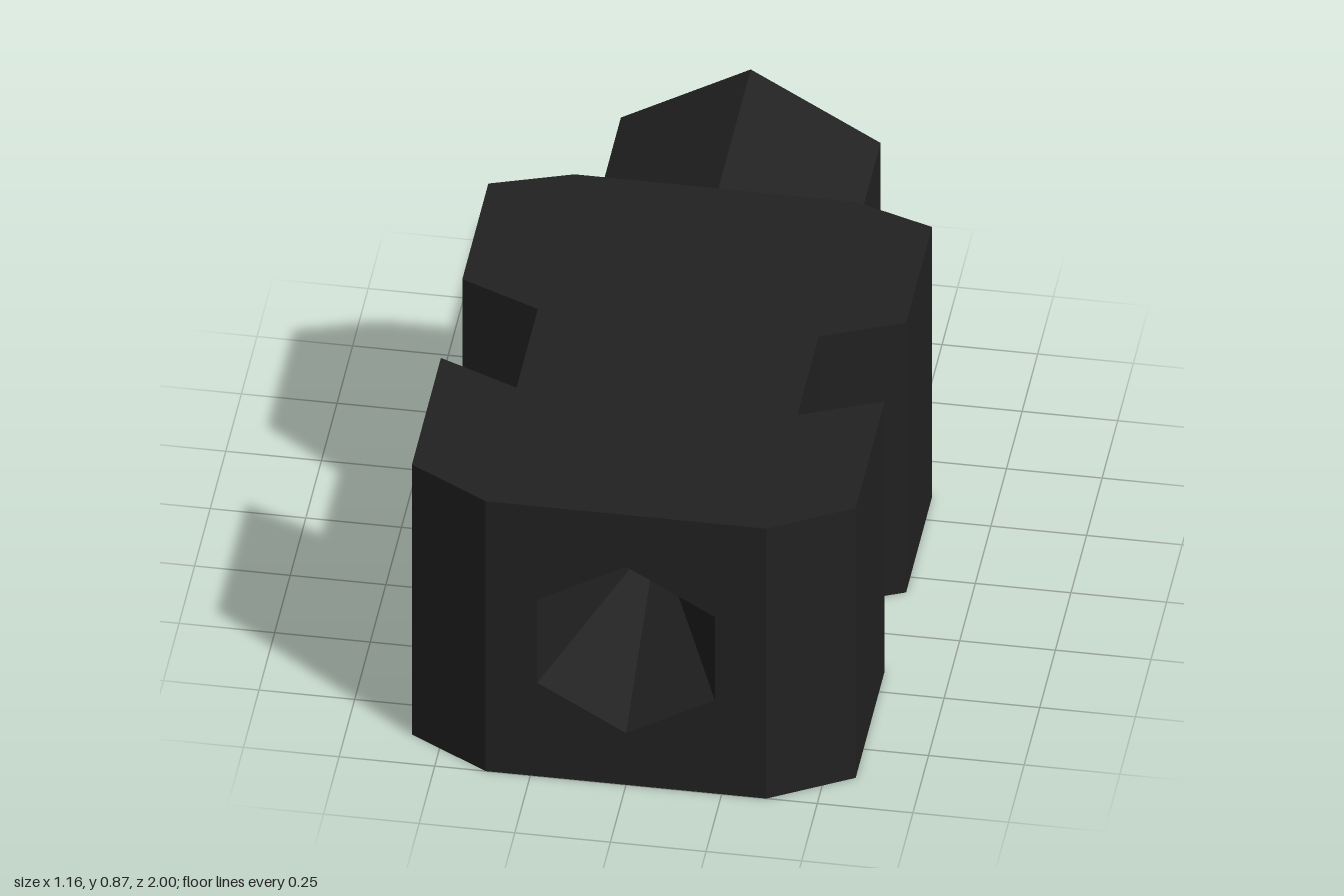
import * as THREE from 'three';

const HEIGHT = 0.87;
const MID = HEIGHT / 2;

export function createModel() {
  const group = new THREE.Group();
  const black = new THREE.MeshStandardMaterial({ color: 0x222222, flatShading: true });
  black.name = 'matte black';

  const add = (name, geometry, y = 0, z = 0) => {
    const flat = geometry.index ? geometry.toNonIndexed() : geometry;
    flat.computeVertexNormals();
    const mesh = new THREE.Mesh(flat, black);
    mesh.name = name;
    mesh.position.set(0, y, z);
    group.add(mesh);
  };

  // Pointy-top hexagon
  const hexagon = (r) => Array.from({ length: 6 }, (_, i) =>
    new THREE.Vector2(r * Math.sin(i * Math.PI / 3), r * Math.cos(i * Math.PI / 3)));

  // Six-sided tapered tube along z
  const hexTube = (rFront, rBack, length) =>
    new THREE.CylinderGeometry(rFront, rBack, length, 6, 1, true).rotateX(Math.PI / 2);

  // Body outline seen from above: right half front to back, then mirrored
  const half = [[0.367, 1], [0.58, 0.875], [0.58, 0.41], [0.367, 0.505],
    [0.367, 0.162], [0.58, 0.067], [0.58, -0.35], [0.367, -0.425]];
  const outline = [...half, ...half.map(([x, z]) => [-x, z]).reverse()];

  // Side and back walls; the front is a separate pierced face
  const walls = [];
  for (let i = 0; i < outline.length - 1; i++) {
    const [ax, az] = outline[i];
    const [bx, bz] = outline[i + 1];
    walls.push(ax, 0, az, bx, 0, bz, bx, HEIGHT, bz);
    walls.push(ax, 0, az, bx, HEIGHT, bz, ax, HEIGHT, az);
  }
  const wallGeometry = new THREE.BufferGeometry();
  wallGeometry.setAttribute('position', new THREE.Float32BufferAttribute(walls, 3));
  add('bodyWalls', wallGeometry);

  // Top and bottom lids
  const lid = (sign) => new THREE.ShapeGeometry(
    new THREE.Shape(outline.map(([x, z]) => new THREE.Vector2(x, -sign * z))),
  ).rotateX(-sign * Math.PI / 2);
  add('bodyTop', lid(1), HEIGHT);
  add('bodyBottom', lid(-1));

  // Front face with hexagonal opening and its pointed recess
  const frontRadius = 0.268;
  const frontDepth = 0.5;
  const front = new THREE.Shape([[-0.367, -MID], [0.367, -MID], [0.367, MID], [-0.367, MID]]
    .map(([x, y]) => new THREE.Vector2(x, y)));
  front.holes.push(new THREE.Path(hexagon(frontRadius)));
  add('frontFace', new THREE.ShapeGeometry(front), MID, 1);
  add('frontRecess', hexTube(frontRadius, 0, frontDepth).scale(-1, 1, 1), MID, 1 - frontDepth / 2);

  // Hexagonal rear stem with rim and pointed recess
  const stemRadius = 0.392;
  const boreRadius = 0.304;
  const boreDepth = 0.55;
  add('rearStem', hexTube(stemRadius, stemRadius, 0.58), MID, -0.71);
  const rim = new THREE.Shape(hexagon(stemRadius));
  rim.holes.push(new THREE.Path(hexagon(boreRadius)));
  add('rearRim', new THREE.ShapeGeometry(rim).rotateY(Math.PI), MID, -1);
  add('rearRecess', hexTube(0, boreRadius, boreDepth).scale(-1, 1, 1), MID, -1 + boreDepth / 2);

  return group;
}
